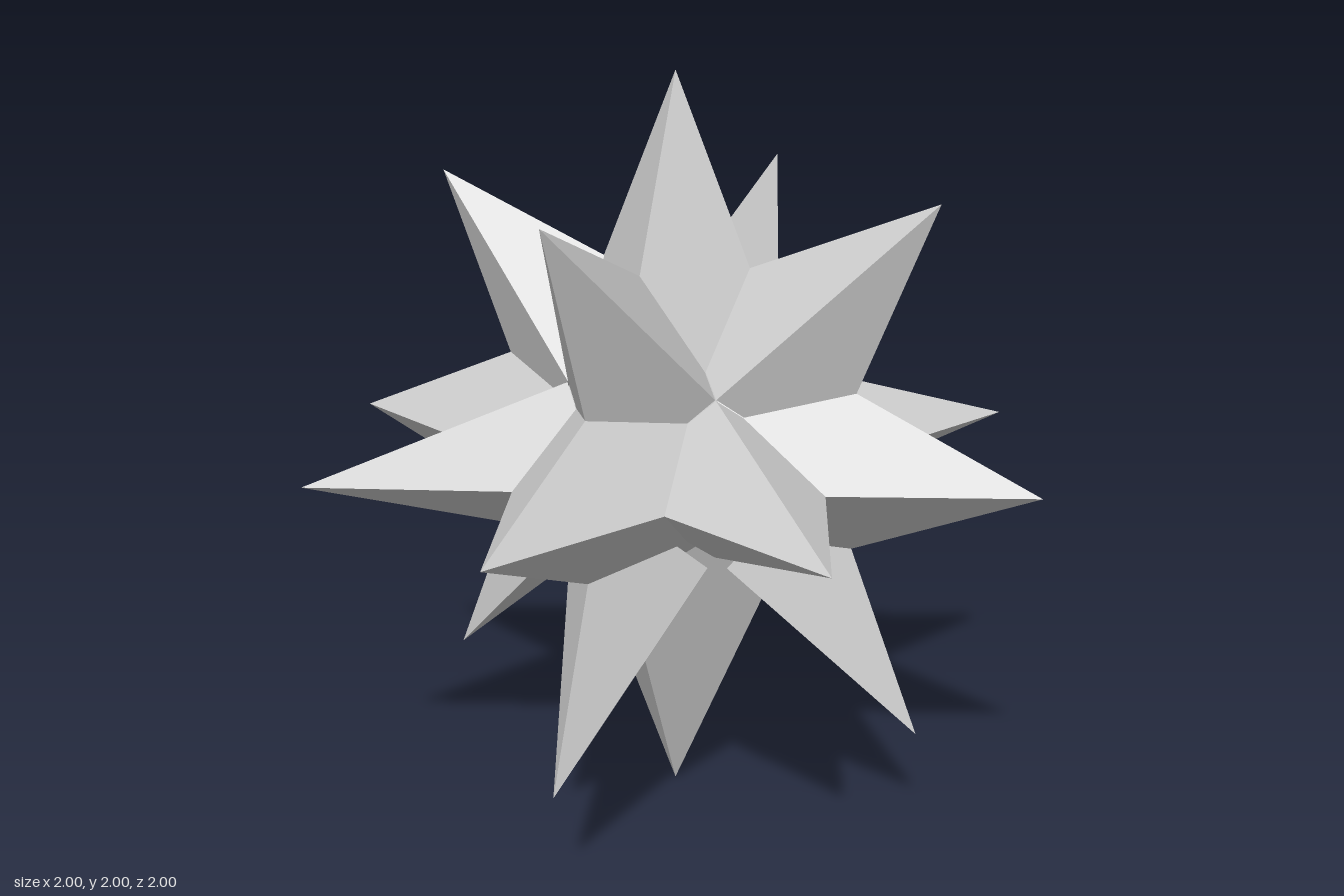
import * as THREE from 'three';

const material = new THREE.MeshStandardMaterial({ color: 0xcccccc, flatShading: true });
const CENTRE = new THREE.Vector3(0, 1, 0);

// Pyramid of length 1 pointing along dir. Each corner is
// [slope along u, slope along v, distance back from the tip].
function spike(name, dir, u, v, corners) {
  [dir, u, v] = [dir, u, v].map((a) => new THREE.Vector3(...a).normalize());
  const ring = corners.map(([cu, cv, d]) => new THREE.Vector3()
    .addScaledVector(dir, 1 - d)
    .addScaledVector(u, cu * d)
    .addScaledVector(v, cv * d));
  // keep the corners counter-clockwise around dir
  if (new THREE.Vector3().crossVectors(u, v).dot(dir) < 0) ring.reverse();

  const points = [];
  const n = ring.length;
  for (let i = 0; i < n; i++) points.push(dir, ring[i], ring[(i + 1) % n]);
  for (let i = 1; i < n - 1; i++) points.push(ring[0], ring[i + 1], ring[i]);

  const geometry = new THREE.BufferGeometry().setFromPoints(points);
  geometry.computeVertexNormals();
  const mesh = new THREE.Mesh(geometry, material);
  mesh.name = name;
  mesh.position.copy(CENTRE);
  return mesh;
}

// Diamond cross-section with half-slopes a (along u) and b (along v)
const diamond = (a, b, da, db) => [[a, 0, da], [0, b, db], [-a, 0, da], [0, -b, db]];

export function createModel() {
  const star = new THREE.Group();
  star.name = 'spikedStar';
  const W = 0.43, T = 0.3;
  const X = [1, 0, 0], Y = [0, 1, 0], Z = [0, 0, 1];

  for (const s of [1, -1]) {
    // spikes along the three axes
    const square = diamond(W, W, 0.85, 0.85);
    star.add(spike('sideSpike', [s, 0, 0], Y, Z, square));
    star.add(spike('verticalSpike', [0, s, 0], Z, X, square));
    star.add(spike('frontBackSpike', [0, 0, s], X, Y, square));

    for (const t of [1, -1]) {
      // level diagonal spikes
      star.add(spike('levelDiagonalSpike', [s, 0, t], [s, 0, -t], Y, diamond(W, T, 0.7, 0.7)));
      // front and back diagonal spikes, the lower ones slightly shorter at the flanks
      star.add(spike('frontBackDiagonalSpike', [0, s, t], [0, s, -t], X,
        diamond(W, T, 0.7, s > 0 ? 0.7 : 0.67)));
    }

    // upper side diagonals, with a shallower rear ridge
    star.add(spike('upperSideDiagonalSpike', [s, 1, 0], [s, -1, 0], Z,
      [[W, 0, 0.7], [0, T, 0.7], [-W, 0, 0.7], [0.065, -0.227, 0.682]]));
    // lower side diagonals, three-sided with a flat underside
    star.add(spike('lowerSideDiagonalSpike', [s, -1, 0], [s, 1, 0], Z,
      [[W, 0, 0.7], [0, T, 0.66], [-0.078, -0.26, 0.614]]));
  }
  return star;
}
